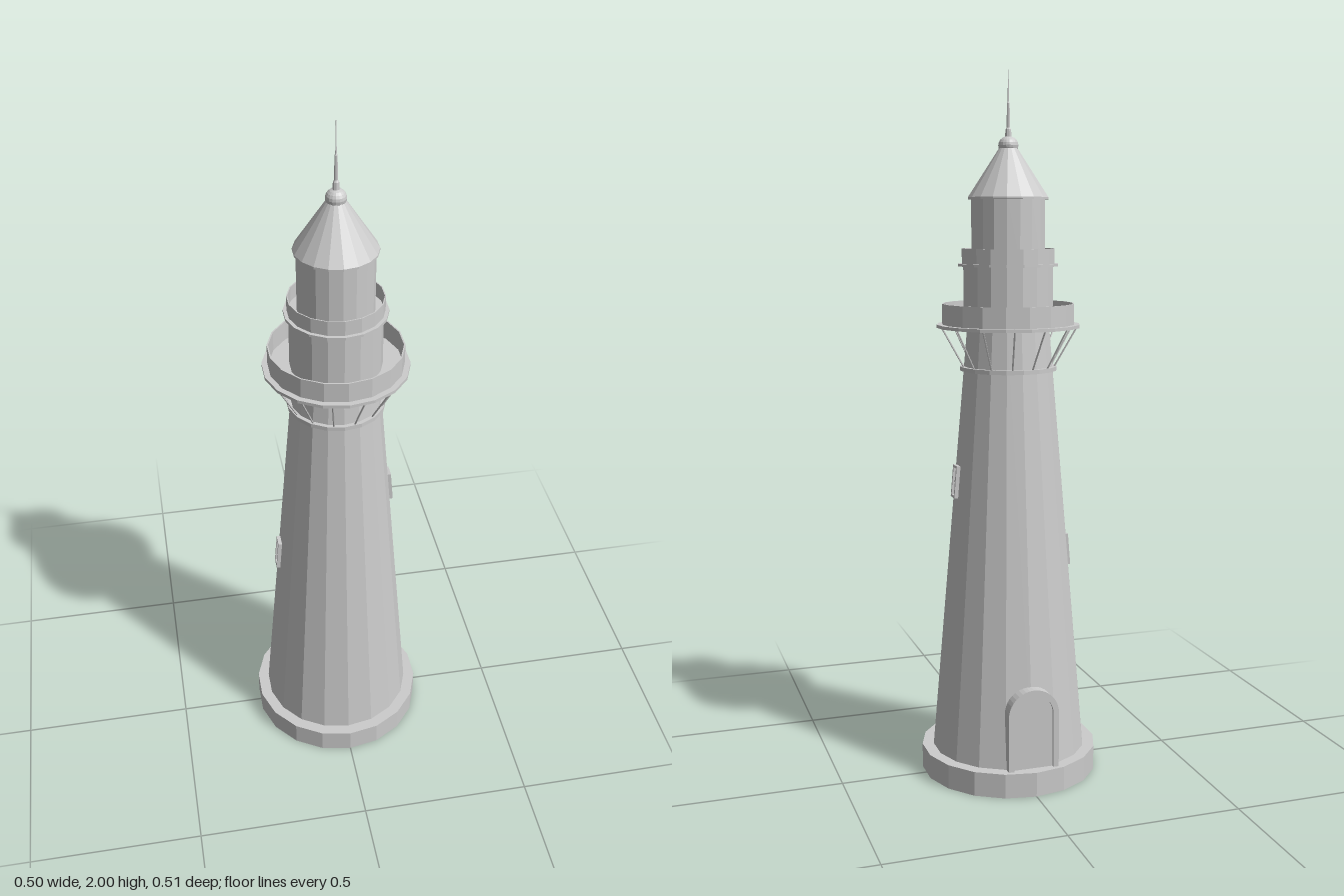
import * as THREE from 'three';

const SIDES = 18;
const mat = new THREE.MeshStandardMaterial({ color: 0xcccccc, flatShading: true, side: THREE.DoubleSide });

function add(parent, name, geometry, x = 0, y = 0, z = 0) {
  const mesh = new THREE.Mesh(geometry, mat);
  mesh.name = name;
  mesh.position.set(x, y, z);
  parent.add(mesh);
  return mesh;
}

// Faceted round part from [radius, height] pairs
function turned(parent, name, points, sides = SIDES) {
  return add(parent, name, new THREE.LatheGeometry(points.map(p => new THREE.Vector2(...p)), sides));
}

// Radius of the tapering tower wall at height y
const wallRadius = y => 0.222 - 0.0856 * (y - 0.07);

// Thin rod between two points
function rod(parent, name, a, b, radius) {
  const mesh = add(parent, name, new THREE.CylinderGeometry(radius, radius, a.distanceTo(b), 5));
  mesh.position.copy(a).add(b).multiplyScalar(0.5);
  mesh.quaternion.setFromUnitVectors(new THREE.Vector3(0, 1, 0), b.clone().sub(a).normalize());
}

// Round-headed outline standing on y = 0
function arch(T, halfWidth, height) {
  const s = new T();
  s.moveTo(-halfWidth, 0);
  s.lineTo(halfWidth, 0);
  s.lineTo(halfWidth, height - halfWidth);
  s.absarc(0, height - halfWidth, halfWidth, 0, Math.PI, false);
  s.lineTo(-halfWidth, 0);
  return s;
}

// Framed window, leaning with the wall
function addWindow(parent, name, angle, y) {
  const w = 0.038, h = 0.092, bar = 0.007, depth = 0.022;
  const g = new THREE.Group();
  g.name = name;
  const r = wallRadius(y) * Math.cos(Math.PI / SIDES);
  g.position.set(Math.sin(angle) * r, y, Math.cos(angle) * r);
  g.rotation.set(-0.085, angle, 0, 'YXZ');
  for (const s of [-1, 1]) {
    add(g, 'windowJamb', new THREE.BoxGeometry(bar, h, depth), s * (w - bar) / 2, 0, 0);
    add(g, 'windowRail', new THREE.BoxGeometry(w - 2 * bar, bar, depth), 0, s * (h - bar) / 2, 0);
  }
  add(g, 'windowPane', new THREE.BoxGeometry(w - 2 * bar, h - 2 * bar, 0.008));
  add(g, 'windowCrossbar', new THREE.BoxGeometry(w - 2 * bar, 0.004, 0.014));
  parent.add(g);
}

export function createModel() {
  const model = new THREE.Group();
  model.name = 'lighthouse';

  // Hollow plinth and tapering tower
  turned(model, 'plinth', [[0.255, 0], [0.255, 0.07], [0.2, 0.07]]);
  turned(model, 'tower', [[wallRadius(0.07), 0.07], [wallRadius(1.3), 1.3]]);
  turned(model, 'collar', [[0.12, 1.174], [0.138, 1.174], [0.138, 1.186], [0.12, 1.186]]);

  // Main gallery: floor, parapet and slanting braces
  turned(model, 'galleryFloor', [[0.11, 1.295], [0.203, 1.295], [0.203, 1.304], [0.11, 1.304]]);
  turned(model, 'galleryParapet', [[0.187, 1.304], [0.187, 1.362], [0.183, 1.362], [0.183, 1.304]]);
  const braces = new THREE.Group();
  braces.name = 'galleryBraces';
  const count = 14;
  for (let i = 0; i < count; i++) {
    const a = i / count * Math.PI * 2;
    const at = (r, y) => new THREE.Vector3(Math.cos(a) * r, y, Math.sin(a) * r);
    rod(braces, 'brace', at(0.13, 1.184), at(0.194, 1.297), 0.0025);
  }
  model.add(braces);

  // Watch room and its small upper gallery
  turned(model, 'watchRoom', [[0.127, 1.304], [0.127, 1.467]]);
  turned(model, 'upperGalleryFloor', [[0.1, 1.466], [0.141, 1.466], [0.141, 1.473], [0.1, 1.473]]);
  turned(model, 'upperParapet', [[0.131, 1.473], [0.131, 1.515], [0.128, 1.515], [0.128, 1.473]]);

  // Lantern room, roof and finial
  turned(model, 'lantern', [[0.104, 1.473], [0.104, 1.655]]);
  turned(model, 'roof', [[0.1, 1.65], [0.113, 1.65], [0.113, 1.656], [0.022, 1.795]]);
  const ball = add(model, 'finialBall', new THREE.SphereGeometry(0.028, 18, 10), 0, 1.797, 0);
  ball.scale.y = 0.9;
  turned(model, 'finialRod', [[0.01, 1.815], [0.008, 1.84], [0.005, 1.845], [0.004, 1.91], [0.002, 1.915], [0.001, 2]], 8);

  // Round-headed doorway at the back
  const doorway = new THREE.Group();
  doorway.name = 'doorway';
  doorway.position.set(0, 0.07, -0.185);
  doorway.rotation.y = Math.PI;
  const frame = arch(THREE.Shape, 0.074, 0.232);
  frame.holes.push(arch(THREE.Path, 0.058, 0.216));
  add(doorway, 'doorFrame', new THREE.ExtrudeGeometry(frame, { depth: 0.046, bevelEnabled: false, curveSegments: 10 }));
  add(doorway, 'door', new THREE.ExtrudeGeometry(arch(THREE.Shape, 0.058, 0.216),
    { depth: 0.037, bevelEnabled: false, curveSegments: 10 }));
  model.add(doorway);

  // Stair windows on both flanks
  addWindow(model, 'leftWindow', Math.PI / 2, 0.86);
  addWindow(model, 'rightWindow', -Math.PI / 2, 0.64);

  return model;
}
